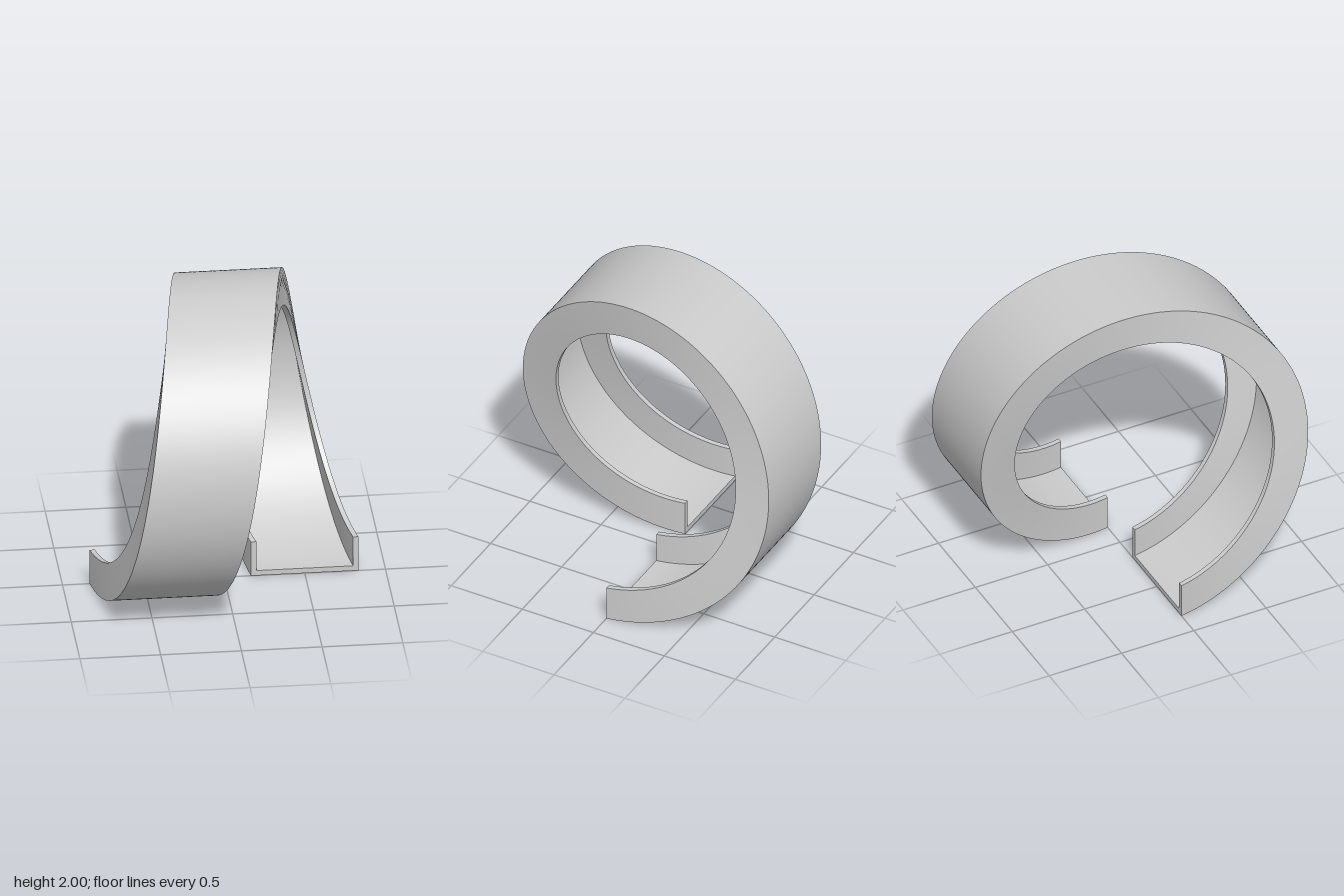
import * as THREE from 'three';

const SEGMENTS = 180;
const PITCH = 1;          // sideways travel over the single turn
const HALF = 0.333;       // half width of the channel
const INNER = 0.3;        // half width between the walls
const OUTER_R = 1, FLOOR_R = 0.966, RIM_R = 0.766;

// U-shaped cross-section: [sideways offset, radius]
const SECTION = [
  [-HALF, OUTER_R], [HALF, OUTER_R], [HALF, RIM_R], [INNER, RIM_R],
  [INNER, FLOOR_R], [-INNER, FLOOR_R], [-INNER, RIM_R], [-HALF, RIM_R],
];

// Section point carried to fraction u of the turn around the x axis
function helixPoint([offset, r], u) {
  const a = u * Math.PI * 2;
  return [(u - 0.5) * PITCH + offset, 1 - r * Math.cos(a), r * Math.sin(a)];
}

function channelGeometry() {
  const positions = [], index = [];

  // One smooth strip per section edge, so the corners stay sharp
  SECTION.forEach((p, k) => {
    const q = SECTION[(k + 1) % SECTION.length];
    const base = positions.length / 3;
    for (let i = 0; i <= SEGMENTS; i++) {
      positions.push(...helixPoint(p, i / SEGMENTS), ...helixPoint(q, i / SEGMENTS));
      if (i === SEGMENTS) continue;
      const a = base + i * 2;
      index.push(a, a + 1, a + 3, a, a + 3, a + 2);
    }
  });

  // Flat end caps: floor and two walls
  for (const u of [0, 1]) {
    const base = positions.length / 3;
    SECTION.forEach((p) => positions.push(...helixPoint(p, u)));
    for (const quad of [[0, 1, 4, 5], [1, 2, 3, 4], [5, 6, 7, 0]]) {
      const [a, b, c, d] = (u ? quad : quad.reverse()).map((n) => n + base);
      index.push(a, b, c, a, c, d);
    }
  }

  const geometry = new THREE.BufferGeometry();
  geometry.setAttribute('position', new THREE.Float32BufferAttribute(positions, 3));
  geometry.setIndex(index);
  geometry.computeVertexNormals();
  return geometry;
}

export function createModel() {
  const group = new THREE.Group();
  group.name = 'helicalChute';
  const channel = new THREE.Mesh(
    channelGeometry(),
    new THREE.MeshStandardMaterial({ color: 0xcccccc }),
  );
  channel.name = 'channel';
  group.add(channel);
  return group;
}
